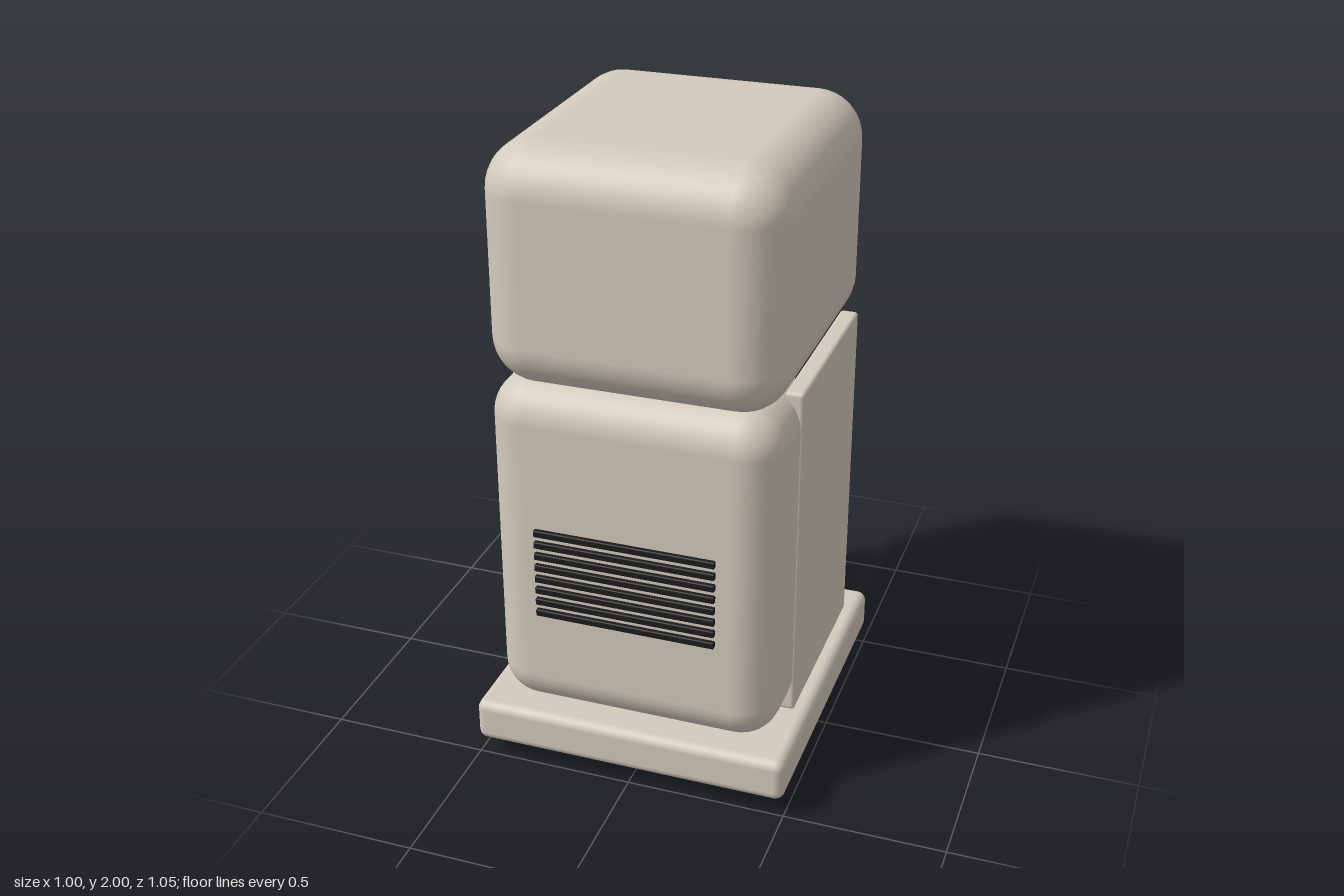
import * as THREE from 'three';
import { RoundedBoxGeometry } from 'three/addons/geometries/RoundedBoxGeometry.js';

const mat = (name, color, extra = {}) => {
  const m = new THREE.MeshStandardMaterial({ color, ...extra });
  m.name = name;
  return m;
};

export function createModel() {
  const shell = mat('warm beige', 0xd2cabc);
  const black = mat('black plastic', 0x1c1c1c);
  const metal = mat('pale metal', 0xc9c4b6);
  const steel = mat('nozzle metal', 0xc9c4b6, { side: THREE.DoubleSide });
  const model = new THREE.Group();
  model.name = 'drinkDispenser';

  const add = (name, geometry, material, x, y, z) => {
    const mesh = new THREE.Mesh(geometry, material);
    mesh.name = name;
    mesh.position.set(x, y, z);
    model.add(mesh);
    return mesh;
  };

  // Rounded box given by its extents on each axis
  const block = (name, material, [x0, x1], [y0, y1], [z0, z1], radius, segments = 3) =>
    add(name, new RoundedBoxGeometry(x1 - x0, y1 - y0, z1 - z0, segments, radius), material,
      (x0 + x1) / 2, (y0 + y1) / 2, (z0 + z1) / 2);

  // Main housing
  block('base', shell, [-0.5, 0.5], [0.06, 0.2], [-0.52, 0.52], 0.03);
  block('body', shell, [-0.445, 0.445], [0.2, 1.3], [0.025, 0.485], 0.125, 5);
  block('head', shell, [-0.447, 0.447], [1.275, 2], [-0.48, 0.485], 0.145, 5);

  // Side walls of the serving bay
  for (const [side, s] of [['left', 1], ['right', -1]]) {
    const wall = block(side + 'Wall', shell, [0.395, 0.453], [0.2, 1.29], [-0.39, 0.24], 0.012, 2);
    wall.position.x *= s;
  }

  // Feet
  for (const x of [-0.318, 0.318]) for (const z of [-0.335, 0.335]) {
    add('foot', new THREE.CylinderGeometry(0.067, 0.067, 0.06, 24), black, x, 0.03, z);
  }

  // Ventilation slats
  for (let i = 0; i < 8; i++) {
    add('ventSlat', new RoundedBoxGeometry(0.56, 0.022, 0.017, 1, 0.004), black,
      0, 0.577 + i * 0.0389, 0.512);
  }

  // Display panel and the two buttons below it
  block('display', black, [-0.185, 0.185], [1.63, 1.78], [-0.515, -0.478], 0.01, 2);
  for (const x of [-0.16, 0.16]) {
    const button = add('button', new THREE.CylinderGeometry(0.04, 0.04, 0.02, 24), metal, x, 1.48, -0.515);
    button.rotation.x = Math.PI / 2;
  }

  // Hollow nozzle
  const profile = [[0.045, 0.13], [0.045, 0.035], [0.045, 0.035], [0.038, 0.025], [0.038, 0.025], [0.038, 0],
    [0.038, 0], [0.024, 0], [0.024, 0], [0.024, 0.05], [0.024, 0.05], [0, 0.05]];
  add('nozzle', new THREE.LatheGeometry(profile.map(p => new THREE.Vector2(...p)).reverse(), 24),
    steel, 0, 1.16, -0.28);

  // Drip tray with rods running front to back
  block('dripTray', black, [-0.36, 0.36], [0.205, 0.247], [-0.465, 0.03], 0.008, 1);
  for (let i = 0; i < 8; i++) {
    const rod = add('trayRod', new THREE.CylinderGeometry(0.011, 0.011, 0.45, 10), metal,
      -0.3 + i * 0.6 / 7, 0.257, -0.23);
    rod.rotation.x = Math.PI / 2;
  }

  return model;
}
